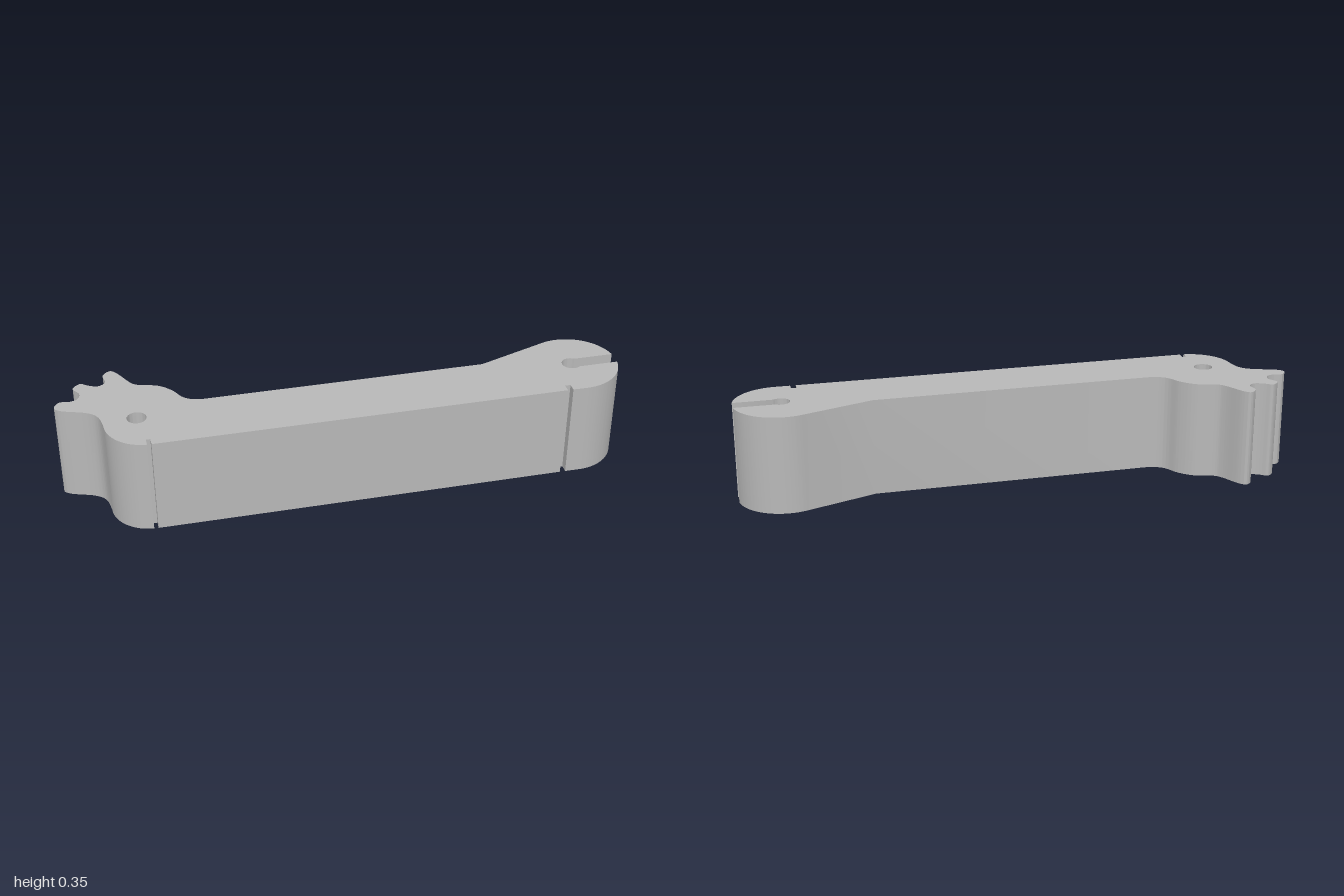
import * as THREE from 'three';
import { toCreasedNormals } from 'three/addons/utils/BufferGeometryUtils.js';

const HEIGHT = 0.352;
const FRONT = -0.243; // front edge in plan (plan y = -z)

// Plan outline of the lever, counter-clockwise
function leverOutline() {
  const s = new THREE.Shape();
  const cx = 0.833, cy = -0.0765, R = 0.167, r = 0.034, half = 0.0265;
  const outer = Math.asin(half / R), inner = Math.asin(half / r);

  // rounded end with the keyhole slot
  s.moveTo(cx, FRONT);
  s.absarc(cx, cy, R, -Math.PI / 2, -outer, false);
  s.absarc(cx, cy, r, -inner, inner - Math.PI * 2, true);
  s.absarc(cx, cy, R, outer, THREE.MathUtils.degToRad(109.5), false);

  // sloped shoulder and straight back
  s.lineTo(0.52, -0.01);
  s.lineTo(-0.5, -0.01);

  // hump, three finger-like teeth and the neck below them
  s.splineThru([
    [-0.535, 0.0], [-0.562, 0.022], [-0.59, 0.07], [-0.635, 0.11], [-0.7, 0.13],
    [-0.728, 0.155], [-0.765, 0.222], [-0.79, 0.243], [-0.816, 0.218],
    [-0.813, 0.172], [-0.84, 0.153], [-0.872, 0.165], [-0.9, 0.182], [-0.927, 0.155],
    [-0.908, 0.118], [-0.917, 0.086], [-0.947, 0.075], [-0.98, 0.078], [-1.0, 0.047],
    [-0.975, 0.022], [-0.895, -0.008], [-0.858, -0.043], [-0.845, -0.103],
  ].map(([x, y]) => new THREE.Vector2(x, y)));

  // rounded front corner
  s.absarc(-0.705, -0.103, 0.14, Math.PI, Math.PI * 1.5 - 0.07, false);

  // front edge with two narrow notches
  for (const [a, b] of [[-0.715, -0.7], [0.76, 0.78]]) {
    s.lineTo(a, FRONT);
    s.lineTo(a, FRONT + 0.03);
    s.lineTo(b, FRONT + 0.03);
    s.lineTo(b, FRONT);
  }
  s.closePath();

  // pivot hole
  const hole = new THREE.Path();
  hole.absarc(-0.73, -0.0755, 0.034, 0, Math.PI * 2, true);
  s.holes.push(hole);
  return s;
}

export function createModel() {
  const group = new THREE.Group();
  group.name = 'toothedLever';
  const grey = new THREE.MeshStandardMaterial({ name: 'grey', color: 0xb8b8b8 });

  let geometry = new THREE.ExtrudeGeometry(leverOutline(), {
    depth: HEIGHT, bevelEnabled: false, curveSegments: 32,
  });
  geometry.rotateX(-Math.PI / 2);
  geometry = toCreasedNormals(geometry, Math.PI / 6);

  const lever = new THREE.Mesh(geometry, grey);
  lever.name = 'leverBody';
  group.add(lever);
  return group;
}
